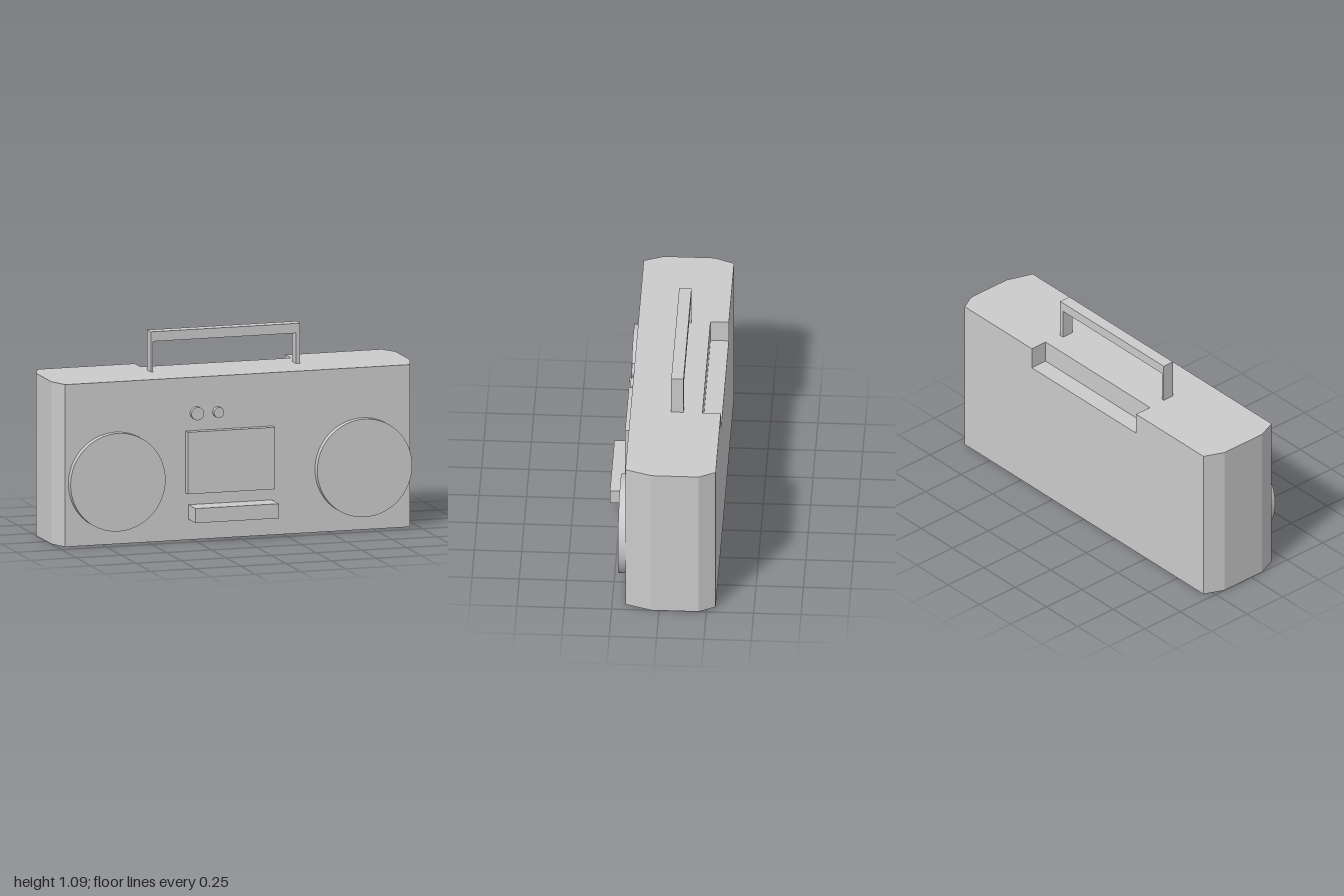
import * as THREE from 'three';
import { mergeGeometries } from 'three/addons/utils/BufferGeometryUtils.js';

const material = new THREE.MeshStandardMaterial({ color: 0xcccccc });
const HEIGHT = 0.87, FRONT = 0.18, BACK = -0.297;
const NOTCH_X = 0.417, NOTCH_Z = -0.2, NOTCH_Y = 0.75;

// Plan outline points are [x, z], anticlockwise seen from above
const frontAndRight = [[-0.957, FRONT], [0.953, FRONT], [1, 0.04], [1, -0.21], [0.953, BACK]];
const left = [[-0.955, BACK], [-1, -0.19], [-1, 0.075]];
const notch = [[NOTCH_X, BACK], [NOTCH_X, NOTCH_Z], [-NOTCH_X, NOTCH_Z], [-NOTCH_X, BACK]];

// Flat horizontal face at height y, facing up or down
function cap(points, y, up) {
  const s = up ? -1 : 1;
  const shape = new THREE.Shape(points.map(([x, z]) => new THREE.Vector2(x, s * z)));
  return new THREE.ShapeGeometry(shape).rotateX(s * Math.PI / 2).translate(0, y, 0).toNonIndexed();
}

// Vertical faces around an outline from y0 to y1
function walls(points, y0, y1) {
  const pos = [], uv = [];
  points.forEach(([ax, az], i) => {
    const [bx, bz] = points[(i + 1) % points.length];
    pos.push(ax, y0, az, bx, y0, bz, bx, y1, bz, ax, y0, az, bx, y1, bz, ax, y1, az);
    uv.push(0, 0, 1, 0, 1, 1, 0, 0, 1, 1, 0, 1);
  });
  const g = new THREE.BufferGeometry();
  g.setAttribute('position', new THREE.Float32BufferAttribute(pos, 3));
  g.setAttribute('uv', new THREE.Float32BufferAttribute(uv, 2));
  g.computeVertexNormals();
  return g;
}

function add(parent, name, geometry) {
  const mesh = new THREE.Mesh(geometry, material);
  mesh.name = name;
  parent.add(mesh);
  return mesh;
}

// Box given by its limits on each axis
function box(parent, name, [x0, x1], [y0, y1], [z0, z1]) {
  const g = new THREE.BoxGeometry(x1 - x0, y1 - y0, z1 - z0);
  g.translate((x0 + x1) / 2, (y0 + y1) / 2, (z0 + z1) / 2);
  return add(parent, name, g);
}

// Round disc standing out from the front face
function disc(parent, name, x, y, radius, depth) {
  const g = new THREE.CylinderGeometry(radius, radius, depth, 64).rotateX(Math.PI / 2);
  return add(parent, name, g.translate(x, y, FRONT + depth / 2));
}

export function createModel() {
  const model = new THREE.Group();
  model.name = 'portableStereo';

  // Case with bevelled ends and a handle recess at the top of the back
  const lower = [...frontAndRight, ...left];
  const upper = [...frontAndRight, ...notch, ...left];
  add(model, 'case', mergeGeometries([
    cap(lower, 0, false),
    walls(lower, 0, NOTCH_Y),
    cap(notch, NOTCH_Y, true),
    walls(upper, NOTCH_Y, HEIGHT),
    cap(upper, HEIGHT, true),
  ]));

  // Speakers
  disc(model, 'rightSpeaker', -0.677, 0.337, 0.263, 0.04);
  disc(model, 'leftSpeaker', 0.69, 0.337, 0.263, 0.04);

  // Knobs
  disc(model, 'largeKnob', -0.23, 0.677, 0.035, 0.025);
  disc(model, 'smallKnob', -0.112, 0.677, 0.028, 0.025);

  // Cassette door and the key ledge below it
  box(model, 'cassetteDoor', [-0.29, 0.193], [0.252, 0.584], [FRONT, 0.22]);
  box(model, 'keyLedge', [-0.273, 0.188], [0.11, 0.188], [FRONT, 0.3]);

  // Handle
  const handle = new THREE.Group();
  handle.name = 'handle';
  const depth = [-0.1, -0.035];
  box(handle, 'rightPost', [-0.413, -0.4], [HEIGHT, 1.033], depth);
  box(handle, 'leftPost', [0.392, 0.415], [HEIGHT, 1.033], depth);
  box(handle, 'grip', [-0.413, 0.415], [1.033, 1.085], depth);
  model.add(handle);

  return model;
}
